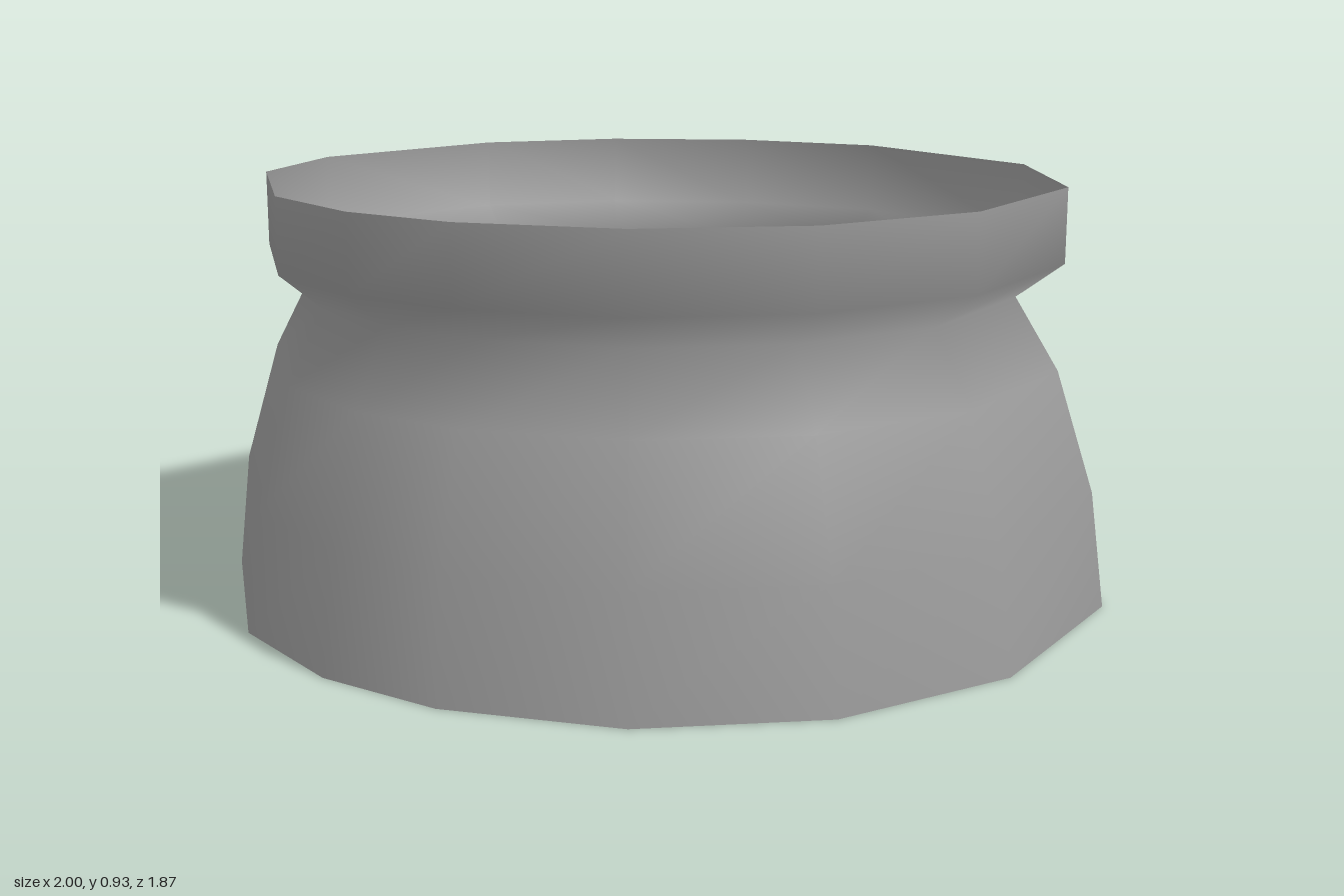
import * as THREE from 'three';

// Uneven fourteen-sided footprint as [x, z]
const OUTLINE = [
  [-0.23, -0.925], [0.16, -0.935], [0.53, -0.81], [0.93, -0.36], [1, 0.13],
  [0.77, 0.59], [0.43, 0.845], [0.04, 0.935], [-0.34, 0.875], [-0.6, 0.74],
  [-0.83, 0.5], [-1, 0.02], [-0.94, -0.34], [-0.58, -0.775],
];

// Rings from foot to lip: [height, scale of the footprint, x shift, z shift]
const RINGS = [
  [0, 1, 0, 0], [0.26, 0.968, -0.002, 0.001], [0.53, 0.885, -0.004, 0.004],
  [0.69, 0.795, -0.01, 0.008], [0.765, 0.892, -0.006, 0.005], [0.93, 0.892, -0.006, 0.005],
];

// Skin the rings with smooth quads
function loftRings() {
  const n = OUTLINE.length;
  const positions = [];
  const index = [];
  for (const [y, s, dx, dz] of RINGS) {
    for (const [x, z] of OUTLINE) positions.push(x * s + dx, y, z * s + dz);
  }
  for (let j = 0; j < RINGS.length - 1; j++) {
    for (let i = 0; i < n; i++) {
      const a = j * n + i;
      const b = j * n + (i + 1) % n;
      index.push(b, a, a + n, b, a + n, b + n);
    }
  }
  const geometry = new THREE.BufferGeometry();
  geometry.setAttribute('position', new THREE.Float32BufferAttribute(positions, 3));
  geometry.setIndex(index);
  geometry.computeVertexNormals();
  return geometry;
}

export function createModel() {
  const group = new THREE.Group();
  group.name = 'pot';
  const material = new THREE.MeshStandardMaterial({ color: 0x9b9b9b, side: THREE.DoubleSide });

  // Thin open wall: belly, pinched neck and upright rim
  const wall = new THREE.Mesh(loftRings(), material);
  wall.name = 'wall';
  group.add(wall);

  // Flat floor closing the foot
  const shape = new THREE.Shape(OUTLINE.map(([x, z]) => new THREE.Vector2(x, z)));
  const floor = new THREE.Mesh(new THREE.ShapeGeometry(shape).rotateX(Math.PI / 2), material);
  floor.name = 'floor';
  group.add(floor);

  return group;
}
